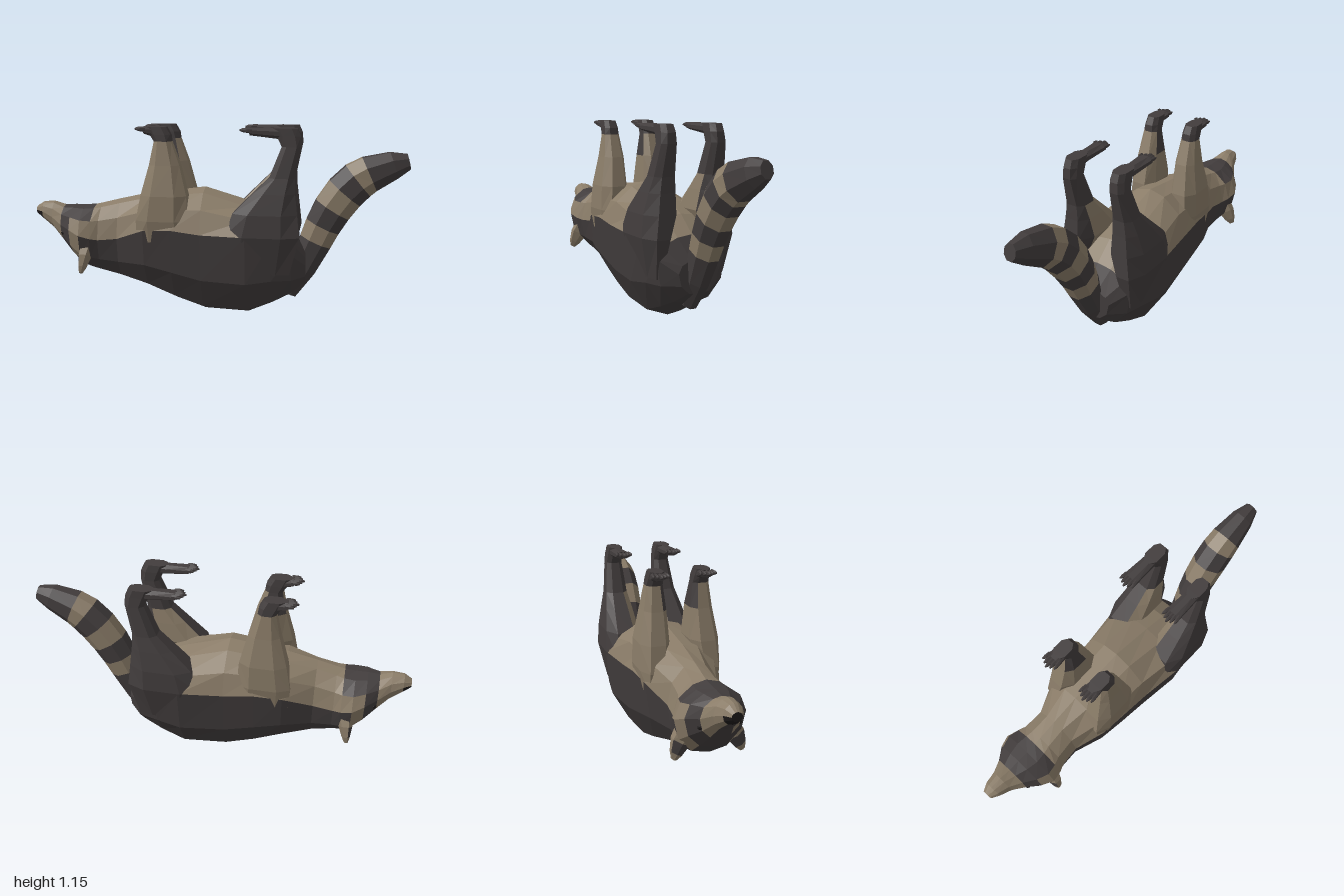
import * as THREE from 'three';

const mat = (name, color) => Object.assign(new THREE.MeshStandardMaterial({ color, flatShading: true }), { name });

// Skin a row of closed cross-sections; pick(i, k) gives the material index of each quad.
// A cap index of -1 leaves that end open.
function loft(name, rings, mats, pick = () => 0, capStart = 0, capEnd = 0) {
  const n = rings[0].length;
  const tris = mats.map(() => []);
  const add = (m, ...p) => tris[m].push(p);
  for (let i = 0; i < rings.length - 1; i++) {
    for (let k = 0; k < n; k++) {
      const l = (k + 1) % n, A = rings[i], B = rings[i + 1], m = pick(i, k);
      add(m, A[k], A[l], B[l]);
      add(m, A[k], B[l], B[k]);
    }
  }
  const first = rings[0], last = rings[rings.length - 1];
  for (let k = 1; k < n - 1; k++) {
    if (capStart >= 0) add(capStart, first[0], first[k + 1], first[k]);
    if (capEnd >= 0) add(capEnd, last[0], last[k], last[k + 1]);
  }
  // Turn all faces outward using the signed volume about the first ring
  let volume = 0;
  const [p, q, r] = [0, 1, 2].map(() => new THREE.Vector3());
  for (const [a, b, c] of tris.flat()) {
    volume += p.subVectors(a, first[0]).dot(q.subVectors(b, first[0]).cross(r.subVectors(c, first[0])));
  }
  const geo = new THREE.BufferGeometry(), pts = [];
  tris.forEach((list, m) => {
    geo.addGroup(pts.length, list.length * 3, m);
    for (const [a, b, c] of list) pts.push(...(volume < 0 ? [a, c, b] : [a, b, c]));
  });
  geo.setFromPoints(pts);
  geo.computeVertexNormals();
  const mesh = new THREE.Mesh(geo, mats);
  mesh.name = name;
  return mesh;
}

const V = (x, y, z) => new THREE.Vector3(x, y, z);

// Oval ring: centre plus two half-axis vectors; a lower power is squarer
function oval(c, u, v, n = 8, power = 1) {
  const bend = (w) => Math.sign(w) * Math.abs(w) ** power;
  return Array.from({ length: n }, (_, k) => {
    const a = ((k + 0.5) / n) * Math.PI * 2;
    return c.clone().addScaledVector(u, bend(Math.cos(a))).addScaledVector(v, bend(Math.sin(a)));
  });
}

// Body section from spine (low) to belly (high), widest on the colour border
function bodyRing([z, low, high, w, mid]) {
  const d = mid - low, u = high - mid;
  const half = [[0, low], [0.5 * w, low + 0.1 * d], [0.87 * w, low + 0.45 * d], [w, mid],
    [0.83 * w, mid + 0.55 * u], [0.4 * w, high - 0.1 * u], [0, high]];
  const mirror = half.slice(1, 6).reverse().map(([x, y]) => [-x, y]);
  return [...half, ...mirror].map(([x, y]) => V(x, y, z));
}

// Horizontal leg section: height, z range, inner and outer x (mirrored by side)
function legRing([y, z0, z1, x0, x1], side) {
  const f = 1.05;
  return oval(V(side * (x0 + x1) / 2, y, (z0 + z1) / 2), V(-side * f * (x1 - x0) / 2, 0, 0),
    V(0, 0, -f * (z1 - z0) / 2), 8, 0.75);
}

export function createModel() {
  const dark = mat('darkFur', 0x423d3d);
  const tan = mat('tanFur', 0x8a7c68);
  const black = mat('noseBlack', 0x1d1a1a);
  const furs = [dark, tan, black];
  const model = new THREE.Group();
  const animal = new THREE.Group();
  animal.name = 'animal';
  animal.rotation.y = Math.PI / 6;
  model.add(animal);

  // Torso, neck and head, lying on the back: z, spine, belly, half width, border
  const torso = [
    [0.55, 0.21, 0.42, 0.13, 0.34], [0.47, 0.135, 0.54, 0.23, 0.42], [0.35, 0.065, 0.64, 0.265, 0.5],
    [0.2, 0, 0.7, 0.285, 0.53], [-0.07, 0.01, 0.785, 0.25, 0.53], [-0.25, 0.07, 0.76, 0.24, 0.55],
    [-0.42, 0.145, 0.74, 0.225, 0.54], [-0.6, 0.2, 0.7, 0.155, 0.47],
  ];
  const head = [
    [-0.72, 0.235, 0.67, 0.165, 0.46], [-0.765, 0.25, 0.66, 0.185, 0.47], [-0.83, 0.275, 0.655, 0.2, 0.49],
    [-0.9, 0.34, 0.655, 0.17, 0.52], [-0.97, 0.42, 0.65, 0.115, 0.54], [-1.04, 0.5, 0.672, 0.075, 0.58],
    [-1.11, 0.555, 0.668, 0.055, 0.61], [-1.155, 0.59, 0.64, 0.03, 0.615],
  ];
  // Pale strips per head band, counted from crown (0) to throat (5): jaw band, mask, muzzle, nose
  const pale = [[3, 4, 5], [3], [1, 2, 3], [], [1, 2, 3, 4, 5], [1, 2, 3, 4, 5], [3, 4, 5]];
  const bodyColour = (i, k) => {
    const j = Math.min(k, 11 - k), h = i - torso.length;
    if (h < 0) return i > 0 && j >= 3 ? 1 : 0;
    if (pale[h].includes(j)) return 1;
    return h === 6 ? 2 : 0;
  };
  animal.add(loft('bodyAndHead', [...torso, ...head].map(bodyRing), furs, bodyColour, 0, 2));

  // Ringed tail: z, y, radius
  const path = [
    [0.44, 0.14, 0.06], [0.53, 0.3, 0.085], [0.605, 0.465, 0.1], [0.645, 0.56, 0.108], [0.7, 0.665, 0.116],
    [0.77, 0.765, 0.12], [0.845, 0.84, 0.118], [0.91, 0.88, 0.11], [1.05, 0.935, 0.082], [1.135, 0.957, 0.047],
  ];
  const tail = path.map(([z, y, r], i) => {
    const a = path[Math.max(i - 1, 0)], b = path[Math.min(i + 1, path.length - 1)];
    const normal = V(0, b[0] - a[0], a[1] - b[1]).normalize();
    return oval(V(0, y, z), V(r * 0.85, 0, 0), normal.multiplyScalar(r * 1.05));
  });
  animal.add(loft('tail', tail, furs, (i) => ([2, 4, 6].includes(i) ? 1 : 0), -1));

  // Leg tables: y, front z, back z, inner x, outer x
  const hind = [
    [0.3, 0.12, 0.46, 0.17, 0.235], [0.53, 0.075, 0.515, 0.12, 0.287],
    [0.66, 0.12, 0.5, 0.065, 0.278], [0.78, 0.24, 0.485, 0.08, 0.252], [0.87, 0.33, 0.48, 0.095, 0.23],
    [1.05, 0.4, 0.515, 0.11, 0.208], [1.11, 0.37, 0.51, 0.11, 0.203], [1.155, 0.35, 0.49, 0.115, 0.2],
  ];
  const fore = [
    [0.47, -0.46, -0.14, 0.15, 0.22], [0.6, -0.465, -0.145, 0.09, 0.24], [0.75, -0.435, -0.155, 0.06, 0.235],
    [0.93, -0.385, -0.2, 0.07, 0.203], [1.07, -0.355, -0.25, 0.088, 0.183], [1.11, -0.38, -0.255, 0.09, 0.18],
    [1.155, -0.4, -0.28, 0.095, 0.175],
  ];
  // Strip 7 faces the other leg, strip 0 faces inward and forward
  const inner = (k) => k === 7 || k === 0;
  const hindColour = (i, k) => (i < 4 && inner(k) ? 1 : 0);
  const foreColour = (i, k) => (i < 3 || (i === 3 && !inner(k)) ? 1 : 0);

  // Flat paw with five tapering toes
  function paw(name, side, x, heel, toe) {
    const g = new THREE.Group();
    g.name = name;
    const len = heel - toe, knuckle = toe + 0.06;
    const sole = [[heel, 0.035, 0.037], [heel - len * 0.4, 0.04, 0.029], [knuckle, 0.047, 0.021]];
    g.add(loft(name + 'Sole', sole.map(([z, w, h]) =>
      oval(V(side * x, 1.155 - h, z), V(w * 1.05, 0, 0), V(0, h * 1.08, 0))), [dark], () => 0, -1));
    for (let i = -2; i <= 2; i++) {
      const reach = toe + Math.abs(i) * 0.012;
      const toes = [[knuckle + 0.015, 0.018, 0.014], [reach + 0.02, 0.02, 0.013], [reach, 0.022, 0.005]];
      g.add(loft(name + 'Toe', toes.map(([z, dx, r]) =>
        oval(V(side * x + i * dx, 1.141, z), V(r * 0.85, 0, 0), V(0, r, 0), 6)), [dark], () => 0, -1));
    }
    return g;
  }

  for (const side of [1, -1]) {
    const label = side > 0 ? 'left' : 'right';
    animal.add(loft(label + 'HindLeg', hind.map((r) => legRing(r, side)), furs, hindColour, -1));
    animal.add(loft(label + 'ForeLeg', fore.map((r) => legRing(r, side)), furs, foreColour, -1));
    animal.add(paw(label + 'HindPaw', side, 0.158, 0.48, 0.155));
    animal.add(paw(label + 'ForePaw', side, 0.135, -0.285, -0.475));

    // Ear with dark hollow: x, y, z, half width, half thickness
    const ear = [[0.115, 0.42, -0.795, 0.065, 0.055], [0.155, 0.35, -0.805, 0.064, 0.042],
      [0.183, 0.29, -0.815, 0.042, 0.025], [0.197, 0.258, -0.82, 0.018, 0.012]];
    animal.add(loft(label + 'Ear', ear.map(([x, y, z, w, t]) =>
      oval(V(side * x, y, z), V(side * w * 0.8, w * 0.45, 0), V(0, 0, t), 6)), furs,
    (i, k) => (i === 1 && (k === 3 || k === 4) ? 0 : 1), -1, 1));

    // Eye set into the mask
    const eye = new THREE.Mesh(new THREE.SphereGeometry(0.016, 8, 6), black);
    eye.name = label + 'Eye';
    eye.position.set(side * 0.105, 0.49, -0.955);
    animal.add(eye);
  }
  return model;
}
